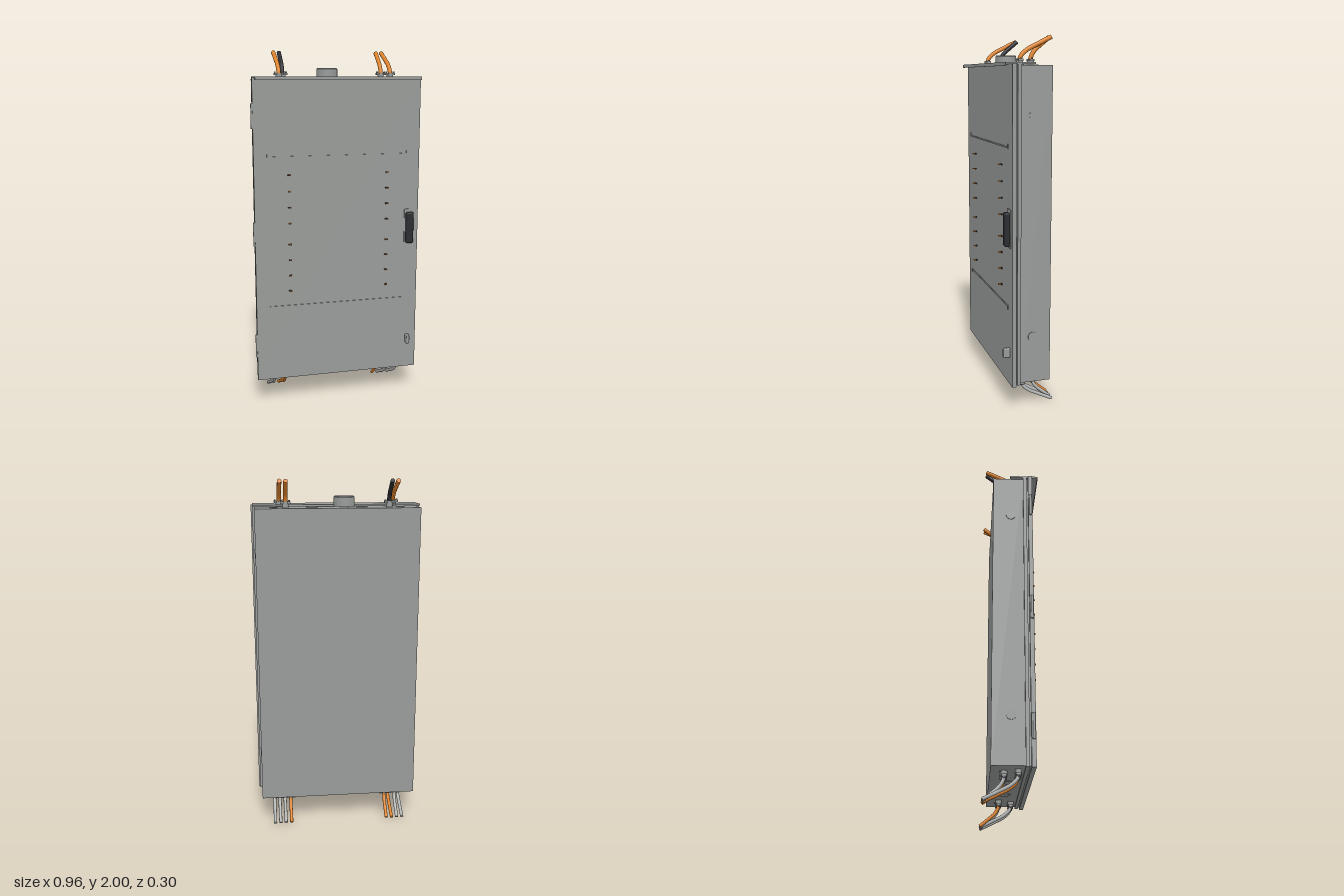
import * as THREE from 'three';
import { RoundedBoxGeometry } from 'three/addons/geometries/RoundedBoxGeometry.js';

const mat = (name, color) => {
  const m = new THREE.MeshStandardMaterial({ color });
  m.name = name;
  return m;
};

export function createModel() {
  const grey = mat('enclosure grey', 0x989b99);
  const pale = mat('pale cable grey', 0xb4b6b5);
  const orange = mat('cable orange', 0xe0842c);
  const black = mat('handle black', 0x2b2c31);
  const root = new THREE.Group();
  root.name = 'electricalCabinet';

  const add = (name, geo, material, x = 0, y = 0, z = 0) => {
    const m = new THREE.Mesh(geo, material);
    m.name = name;
    m.position.set(x, y, z);
    root.add(m);
    return m;
  };
  // Box given by its limits on each axis
  const box = (name, x0, x1, y0, y1, z0, z1, material = grey) =>
    add(name, new THREE.BoxGeometry(x1 - x0, y1 - y0, z1 - z0), material,
      (x0 + x1) / 2, (y0 + y1) / 2, (z0 + z1) / 2);
  const cylinder = (name, r, h, x, y, z, material = grey, sides = 24) =>
    add(name, new THREE.CylinderGeometry(r, r, h, sides), material, x, y, z);

  // Cabinet body, neck, frame and door
  box('cabinetBody', -0.45, 0.455, 0.158, 1.846, -0.105, 0.064);
  box('frameFlange', -0.464, 0.467, 0.15, 1.85, 0.064, 0.083);
  box('doorGasket', -0.455, 0.458, 0.156, 1.845, 0.083, 0.091);
  box('door', -0.475, 0.475, 0.145, 1.855, 0.091, 0.114);

  // Drip shield over the door, with a turned-down front edge
  box('dripShield', -0.462, 0.467, 1.85, 1.86, -0.01, 0.148);
  box('shieldEdge', -0.462, 0.467, 1.842, 1.852, 0.143, 0.148);

  // Hinges on the door's edge
  for (const y of [0.352, 1.005, 1.652]) {
    box('hingeLeaf', -0.481, -0.468, y - 0.062, y + 0.062, 0.091, 0.109);
    cylinder('hingePin', 0.008, 0.135, -0.476, y, 0.104, grey, 12);
  }

  // Inner panel creases, with small turned ends
  for (const [y, dir] of [[1.43, 1], [0.58, -1]]) {
    box('panelCrease', -0.4, 0.4, y - 0.004, y + 0.004, 0.113, 0.118);
    for (const x of [-0.399, 0.399])
      box('creaseEnd', x - 0.003, x + 0.003, Math.min(y, y + dir * 0.018), Math.max(y, y + dir * 0.018), 0.113, 0.118);
  }

  // Breaker toggles poking through the door
  for (const x of [-0.28, 0.283])
    for (const y of [0.67, 0.76, 0.85, 0.94, 1.06, 1.15, 1.24, 1.33]) {
      box('toggleBase', x - 0.008, x + 0.008, y - 0.003, y + 0.003, 0.112, 0.122, black);
      const tip = box('toggleTip', x - 0.006, x + 0.006, y - 0.003, y + 0.003, 0.118, 0.136, orange);
      tip.rotation.x = -0.15;
    }

  // Door handle and latch
  box('handlePlate', 0.392, 0.448, 0.905, 1.112, 0.112, 0.118);
  add('handle', new RoundedBoxGeometry(0.044, 0.182, 0.03, 3, 0.01), black, 0.42, 1.004, 0.13);
  add('lowerLatch', new RoundedBoxGeometry(0.02, 0.054, 0.038, 2, 0.006), grey, 0.42, 0.325, 0.131);

  // Round knockouts on the sides, top and bottom
  for (const x of [-0.451, 0.456])
    for (const y of [0.415, 1.595])
      cylinder('sideKnockout', 0.026, 0.006, x, y, -0.006).rotation.z = Math.PI / 2;
  for (const y of [0.157, 1.847]) {
    for (const x of [-0.345, 0.35]) cylinder('smallKnockout', 0.021, 0.006, x, y, -0.04);
    for (const x of [-0.135, 0.14]) cylinder('largeKnockout', 0.032, 0.006, x, y, 0.01 - 0.02);
  }

  // Conduit hub on top: an open ring with two cable ends inside
  const hub = [[0.046, 0], [0.058, 0], [0.058, 0.05], [0.054, 0.055], [0.046, 0.055], [0.046, 0]]
    .map(([r, y]) => new THREE.Vector2(r, y));
  const hubParts = hub.slice(1).map((p, i) => new THREE.LatheGeometry([hub[i], p], 32));
  const hubGrey = grey.clone();
  hubGrey.name = 'hub grey';
  hubGrey.side = THREE.DoubleSide;
  for (const g of hubParts) add('conduitHub', g, hubGrey, -0.038, 1.85, -0.002);
  cylinder('hubCableDark', 0.01, 0.05, -0.06, 1.875, -0.01, black, 12);
  cylinder('hubCableOrange', 0.01, 0.05, -0.013, 1.875, -0.01, orange, 12);
  cylinder('hubCablePale', 0.009, 0.03, -0.015, 1.865, -0.028, pale, 12);

  // Cable with its clamp; dir is 1 on the top and -1 underneath
  const cable = (x, z, dir, material) => {
    const face = dir > 0 ? 1.852 : 0.155;
    const end = dir > 0 ? 1.992 : 0.013;
    const r = dir > 0 ? 0.012 : 0.0095;
    cylinder('clampCollar', 0.018, 0.03, x, face + dir * 0.008, z, grey, 16);
    box('clampBar', x - 0.027, x + 0.027, face + dir * 0.022 - 0.006, face + dir * 0.022 + 0.006, z - 0.013, z + 0.013);
    for (const s of [-1, 1]) cylinder('clampScrew', 0.005, 0.012, x + s * 0.021, face + dir * 0.028, z, grey, 8);
    const at = (t, f) => new THREE.Vector3(x, face + (end - face) * t, z + (-0.142 - z) * f);
    const path = new THREE.CatmullRomCurve3([at(0, 0), at(0.26, 0.02), at(0.5, 0.2), at(0.75, 0.58), at(1, 1)]);
    add('cable', new THREE.TubeGeometry(path, 24, r, 12), material);
    // Cut end
    const cap = add('cableEnd', new THREE.CircleGeometry(r, 12), material, x, end, -0.142);
    cap.lookAt(path.getPoint(1).add(path.getTangent(1)));
  };
  cable(-0.315, 0.03, 1, orange);
  cable(-0.283, -0.04, 1, black);
  cable(0.287, -0.04, 1, orange);
  cable(0.32, 0.03, 1, orange);
  [[-0.378, pale], [-0.346, pale], [-0.315, orange], [-0.283, orange]]
    .forEach(([x, m], i) => cable(x, i % 2 ? -0.037 : 0.033, -1, m));
  [[0.287, orange], [0.32, pale], [0.352, pale], [0.383, pale]]
    .forEach(([x, m], i) => cable(x, i % 2 ? 0.033 : -0.037, -1, m));

  return root;
}
